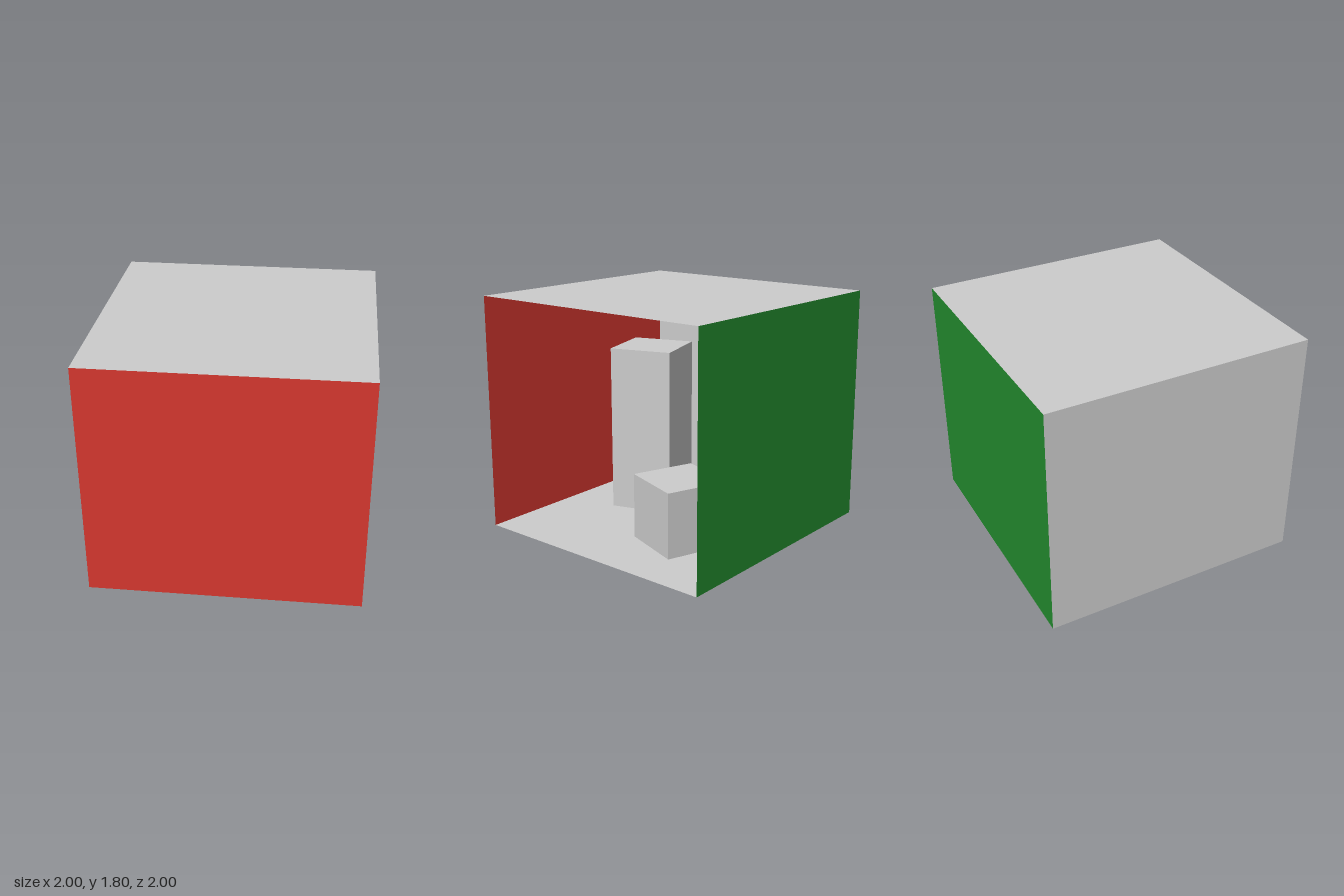
import * as THREE from 'three';

const paint = (name, color, side = THREE.FrontSide) => {
  const m = new THREE.MeshStandardMaterial({ color, side });
  m.name = name;
  return m;
};

export function createModel() {
  const model = new THREE.Group();
  model.name = 'openRoom';

  const grey = paint('light grey', 0xcccccc, THREE.DoubleSide);
  const red = paint('red', 0xd6372f, THREE.DoubleSide);
  const green = paint('green', 0x238b2e, THREE.DoubleSide);

  const size = 2, height = 1.8;

  const add = (name, geometry, material, x, y, z, rx = 0, ry = 0) => {
    const mesh = new THREE.Mesh(geometry, material);
    mesh.name = name;
    mesh.position.set(x, y, z);
    mesh.rotation.set(rx, ry, 0);
    model.add(mesh);
  };

  // Room shell of paper-thin panels, open towards +x
  const slab = new THREE.PlaneGeometry(size, size);
  const panel = new THREE.PlaneGeometry(size, height);
  add('floor', slab, grey, 0, 0, 0, -Math.PI / 2);
  add('ceiling', slab, grey, 0, height, 0, Math.PI / 2);
  add('rearWall', panel, grey, -1, height / 2, 0, 0, Math.PI / 2);
  add('redWall', panel, red, 0, height / 2, 1, 0, Math.PI);
  add('greenWall', panel, green, 0, height / 2, -1);

  // Two square blocks standing on the floor, turned opposite ways
  const block = (name, h, x, z, degrees) =>
    add(name, new THREE.BoxGeometry(0.5, h, 0.5), grey, x, h / 2, z, 0, THREE.MathUtils.degToRad(degrees));
  block('shortBlock', 0.5, 0.333, -0.316, -19.6);
  block('tallBlock', 1.32, -0.217, 0.422, 18.1);

  return model;
}
